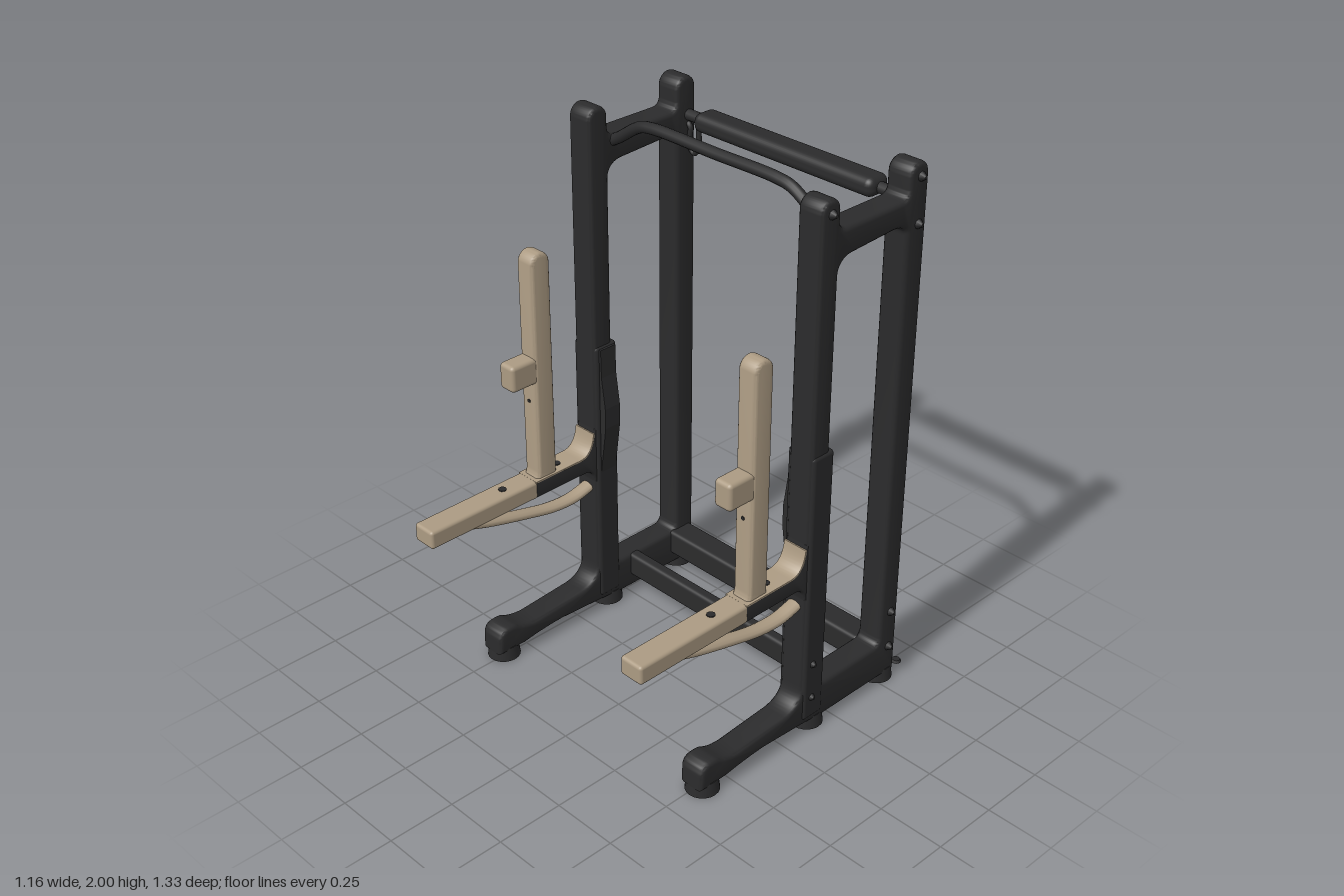
import * as THREE from 'three';
import { toCreasedNormals } from 'three/addons/utils/BufferGeometryUtils.js';
import { RoundedBoxGeometry } from 'three/addons/geometries/RoundedBoxGeometry.js';

export function createModel() {
  const model = new THREE.Group();
  model.name = 'powerRack';
  const dark = new THREE.MeshStandardMaterial({ color: 0x2b2b2c });
  dark.name = 'charcoal steel';
  const tan = new THREE.MeshStandardMaterial({ color: 0xac9b83 });
  tan.name = 'sand padding';

  const add = (parent, name, geo, mat, x = 0, y = 0, z = 0) => {
    const m = new THREE.Mesh(geo, mat);
    m.name = name;
    m.position.set(x, y, z);
    parent.add(m);
    return m;
  };
  // rounded box given by its extents
  const block = (parent, name, mat, [x0, x1], [y0, y1], [z0, z1], r = 0.012) =>
    add(parent, name, new RoundedBoxGeometry(x1 - x0, y1 - y0, z1 - z0, 3, r), mat,
      (x0 + x1) / 2, (y0 + y1) / 2, (z0 + z1) / 2);
  // side profile drawn in (z, y), extruded along x and centred on x = 0
  const sideExtrude = (shape, width, bevel) => {
    const g = new THREE.ExtrudeGeometry(shape, {
      depth: width - 2 * bevel, bevelEnabled: true, bevelSize: bevel,
      bevelThickness: bevel, bevelOffset: -bevel, bevelSegments: 3, curveSegments: 10,
    });
    g.translate(0, 0, -(width / 2 - bevel));
    g.rotateY(-Math.PI / 2);
    return toCreasedNormals(g, 0.7);
  };
  const tube = (pts, r, seg = 32) => new THREE.TubeGeometry(
    new THREE.CatmullRomCurve3(pts.map((p) => new THREE.Vector3(...p)), false, 'centripetal'), seg, r, 12);

  // side frame: two uprights, top rail, base rail and forward leg
  const frame = new THREE.Shape();
  frame.moveTo(-0.575, 0.03);
  frame.lineTo(-0.575, 1.955);
  frame.absarc(-0.53, 1.955, 0.045, Math.PI, 0, true);
  frame.lineTo(-0.485, 1.915);
  frame.quadraticCurveTo(-0.485, 1.888, -0.455, 1.886);
  frame.lineTo(-0.2, 1.886);
  frame.quadraticCurveTo(-0.168, 1.888, -0.168, 1.92);
  frame.lineTo(-0.168, 1.955);
  frame.absarc(-0.124, 1.955, 0.044, Math.PI, 0, true);
  frame.lineTo(-0.08, 0.21);
  frame.quadraticCurveTo(-0.08, 0.135, 0, 0.125);
  frame.lineTo(0.22, 0.11);
  frame.quadraticCurveTo(0.28, 0.11, 0.32, 0.135);
  frame.quadraticCurveTo(0.4, 0.15, 0.4, 0.09);
  frame.lineTo(0.4, 0.035);
  frame.lineTo(0.28, 0.035);
  frame.quadraticCurveTo(0.2, 0.048, 0.1, 0.05);
  frame.lineTo(-0.08, 0.04);
  frame.lineTo(-0.2, 0.03);
  const opening = new THREE.Path();
  opening.moveTo(-0.455, 0.175);
  opening.lineTo(-0.21, 0.175);
  opening.quadraticCurveTo(-0.168, 0.175, -0.168, 0.21);
  opening.lineTo(-0.168, 1.73);
  opening.quadraticCurveTo(-0.168, 1.785, -0.23, 1.79);
  opening.lineTo(-0.42, 1.8);
  opening.quadraticCurveTo(-0.485, 1.8, -0.485, 1.76);
  opening.lineTo(-0.485, 0.21);
  opening.quadraticCurveTo(-0.485, 0.175, -0.455, 0.175);
  frame.holes.push(opening);

  // dark arm root, flaring into the upright
  const root = new THREE.Shape();
  root.moveTo(-0.1, 0.56);
  root.lineTo(-0.08, 0.57);
  root.quadraticCurveTo(-0.075, 0.625, -0.03, 0.625);
  root.lineTo(0.2, 0.625);
  root.lineTo(0.2, 0.688);
  root.lineTo(-0.01, 0.688);
  root.quadraticCurveTo(-0.07, 0.69, -0.08, 0.79);
  root.lineTo(-0.1, 0.8);

  // thin tan cover running down from the upright over the arm root
  const cover = new THREE.Shape();
  cover.moveTo(-0.079, 0.775);
  cover.quadraticCurveTo(-0.069, 0.688, -0.01, 0.686);
  cover.lineTo(0.2, 0.686);
  cover.lineTo(0.2, 0.692);
  cover.lineTo(-0.008, 0.692);
  cover.quadraticCurveTo(-0.064, 0.694, -0.073, 0.775);

  // upright pad with a round top
  const pad = new THREE.Shape();
  pad.moveTo(0.093, 0.67);
  pad.lineTo(0.093, 1.513);
  pad.absarc(0.135, 1.513, 0.042, Math.PI, 0, true);
  pad.lineTo(0.177, 0.72);
  pad.quadraticCurveTo(0.178, 0.69, 0.2, 0.67);

  for (const s of [1, -1]) {
    const side = new THREE.Group();
    side.name = s > 0 ? 'leftSide' : 'rightSide';
    side.position.x = s * 0.513;
    model.add(side);

    add(side, 'sideFrame', sideExtrude(frame, 0.1, 0.016), dark);
    block(side, 'uprightSleeve', dark, [-0.06, 0.056], [0.06, 1.12], [-0.185, -0.085], 0.015);
    // tapered guide on the inner face of the sleeve
    const guide = new THREE.Shape();
    [[0, 0.58], [0.055, 0.6], [0.083, 0.8], [0.083, 0.88], [0.066, 1.0], [0.064, 1.11], [0, 1.11]]
      .forEach(([x, y], i) => (i ? guide.lineTo(x, y) : guide.moveTo(x, y)));
    const gg = new THREE.ExtrudeGeometry(guide, { depth: 0.07, bevelEnabled: false });
    const guideMesh = add(side, 'innerGuide', gg, dark, 0, 0, s > 0 ? -0.1 : -0.17);
    if (s > 0) guideMesh.rotation.y = Math.PI;

    // feet and floor anchors
    for (const z of [0.345, -0.165, -0.535]) {
      add(side, 'foot', new THREE.CylinderGeometry(0.053, 0.06, 0.05, 20), dark, 0, 0.025, z);
    }
    add(side, 'floorAnchor', new THREE.CylinderGeometry(0.015, 0.02, 0.01, 8), dark, 0.005 * s, 0.005, -0.645);
    add(side, 'floorAnchor', new THREE.CylinderGeometry(0.015, 0.02, 0.01, 8), dark, -0.065 * s, 0.005, -0.595);

    // bolts on the outer face
    for (const [y, z] of [[0.29, -0.125], [0.15, -0.125], [0.3, -0.535], [0.15, -0.535], [1.79, -0.535], [1.95, -0.535], [1.95, -0.125]]) {
      const bolt = add(side, 'bolt', new THREE.CylinderGeometry(0.006, 0.02, 0.022, 8), dark, s * 0.057, y, z);
      bolt.rotation.z = -s * Math.PI / 2;
    }

    // swing arm
    add(side, 'armRoot', sideExtrude(root, 0.092, 0.006), dark);
    add(side, 'armCover', sideExtrude(cover, 0.096, 0.001), tan);
    block(side, 'armPad', tan, [-0.047, 0.047], [0.622, 0.692], [0.19, 0.665]);
    add(side, 'uprightPad', sideExtrude(pad, 0.076, 0.014), tan);
    block(side, 'peg', tan, [-0.036, 0.036], [1.07, 1.17], [0.15, 0.275], 0.015);
    for (const z of [0.065, 0.315]) {
      add(side, 'armPin', new THREE.CylinderGeometry(0.015, 0.015, 0.006, 10), dark, 0, 0.692, z);
    }
    const pin = add(side, 'padPin', new THREE.CylinderGeometry(0.007, 0.007, 0.006, 8), dark, 0, 0.995, 0.177);
    pin.rotation.x = Math.PI / 2;

    // flattened brace under the arm
    const brace = tube([[0, 0.63, 0.5], [0, 0.595, 0.4], [0, 0.55, 0.23], [0, 0.521, 0.1],
      [0, 0.516, 0], [0, 0.528, -0.06], [0, 0.54, -0.1]], 0.017);
    brace.scale(1.7, 1, 1);
    add(side, 'armBrace', brace, tan);

    // hook beside the rear top bar
    add(model, 'barHook', tube([[s * 0.475, 1.83, -0.54], [s * 0.455, 1.82, -0.54], [s * 0.458, 1.75, -0.54],
      [s * 0.435, 1.725, -0.54], [s * 0.415, 1.75, -0.54], [s * 0.415, 1.84, -0.54]], 0.01), dark);
    const stub = add(model, 'barStub', new THREE.CylinderGeometry(0.02, 0.02, 0.1, 12), dark, s * 0.43, 1.86, -0.54);
    stub.rotation.z = Math.PI / 2;
  }

  // bent front pull-up bar
  add(model, 'pullUpBar', tube([[-0.5, 1.85, -0.19], [-0.45, 1.875, -0.195], [-0.34, 1.945, -0.195], [-0.28, 1.957, -0.195],
    [0, 1.957, -0.195], [0.28, 1.957, -0.195], [0.34, 1.945, -0.195], [0.45, 1.875, -0.195], [0.5, 1.85, -0.19]], 0.02, 64), dark);
  // thick rear top bar
  block(model, 'rearTopBar', dark, [-0.4, 0.4], [1.828, 1.896], [-0.588, -0.49], 0.028);
  // base cross members
  block(model, 'rearBaseBar', dark, [-0.48, 0.48], [0.078, 0.178], [-0.56, -0.457], 0.015);
  block(model, 'middleBaseBar', dark, [-0.48, 0.48], [0.08, 0.175], [-0.293, -0.245], 0.015);

  return model;
}
